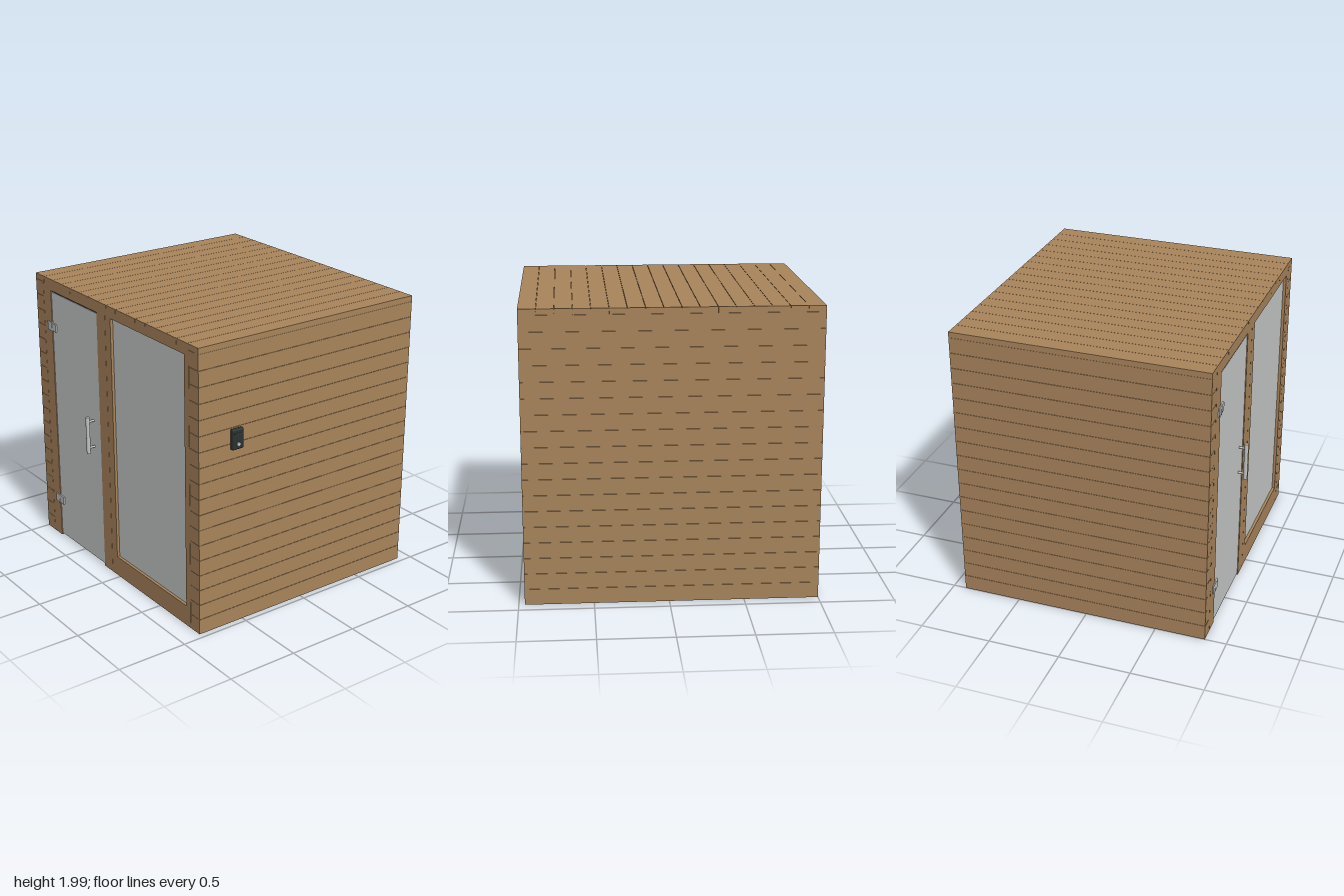
import * as THREE from 'three';
import { RoundedBoxGeometry } from 'three/addons/geometries/RoundedBoxGeometry.js';

const material = (name, color, extra = {}) => {
  const m = new THREE.MeshStandardMaterial({ color, ...extra });
  m.name = name;
  return m;
};

export function createModel() {
  const wood = material('cedar wood', 0xa8845b);
  const pale = material('pale bench wood', 0xd6c49c);
  const glass = material('frosted glass', 0xc8cac9);
  const metal = material('brushed metal', 0xc2c4c2);
  const black = material('black plastic', 0x2b3032);
  const seal = material('dark seal', 0x3c3a36);

  const model = new THREE.Group();
  model.name = 'saunaCabin';
  const group = (name) => {
    const g = new THREE.Group();
    g.name = name;
    model.add(g);
    return g;
  };
  // Box given by its minimum and maximum on each axis
  const box = (parent, name, mat, x0, x1, y0, y1, z0, z1) => {
    const mesh = new THREE.Mesh(new THREE.BoxGeometry(x1 - x0, y1 - y0, z1 - z0), mat);
    mesh.position.set((x0 + x1) / 2, (y0 + y1) / 2, (z0 + z1) / 2);
    mesh.name = name;
    parent.add(mesh);
    return mesh;
  };
  const cylinder = (parent, name, mat, r, h, x, y, z, rx = 0, rz = 0) => {
    const mesh = new THREE.Mesh(new THREE.CylinderGeometry(r, r, h, 20), mat);
    mesh.position.set(x, y, z);
    mesh.rotation.set(rx, 0, rz);
    mesh.name = name;
    parent.add(mesh);
  };

  const L = -1, R = 0.96, B = -0.91, F = 0.85, TOP = 1.985, EAVE = 1.945;
  const T = 0.045, gap = 0.001;

  // Planked side and back walls with a lining behind the seams
  const walls = group('walls');
  const rows = 18, pitch = EAVE / rows;
  for (let i = 0; i < rows; i++) {
    const y0 = i * pitch + (i ? gap : 0), y1 = (i + 1) * pitch - gap;
    box(walls, 'rightSidePlank', wood, R - T, R, y0, y1, B, F);
    box(walls, 'leftSidePlank', wood, L, L + T, y0, y1, B, F);
    box(walls, 'backPlank', wood, L + T, R - T, y0, y1, B, B + T);
    box(walls, 'frontCornerPlank', wood, L + T, -0.9 - gap, y0, y1, F - T, F);
    box(walls, 'frontCornerPlank', wood, 0.86 + gap, R - T, y0, y1, F - T, F);
  }
  box(walls, 'lining', wood, R - T - 0.005, R - 0.006, 0.001, EAVE, B + 0.006, F - 0.006);
  box(walls, 'lining', wood, L + 0.006, L + T + 0.005, 0.001, EAVE, B + 0.006, F - 0.006);
  box(walls, 'lining', wood, L + T, R - T, 0.001, EAVE, B + 0.006, B + T + 0.005);

  // Roof planks running front to back
  const roof = group('roof');
  const columns = 17, width = (R - L) / columns;
  for (let i = 0; i < columns; i++) {
    const x0 = L + i * width;
    box(roof, 'roofPlank', wood, x0 + (i ? gap : 0), x0 + width - (i < columns - 1 ? gap : 0), EAVE, TOP, B, F);
  }
  box(roof, 'ceiling', wood, L + 0.006, R - 0.006, EAVE - 0.01, TOP - 0.006, B + 0.006, F - 0.006);

  // Front frame around door and window
  const frame = group('frontFrame');
  const z0 = F - T;
  box(frame, 'doorHingePost', wood, -0.9 + gap, -0.8, 0, EAVE, z0, F);
  box(frame, 'doorHeader', wood, -0.8, -0.2, 1.903, EAVE, z0, F);
  box(frame, 'centrePost', wood, -0.2, -0.095 - gap, 0, EAVE, z0, F);
  box(frame, 'windowLeftTrim', wood, -0.095 + gap, -0.03, 0, EAVE, z0, F);
  box(frame, 'windowRightTrim', wood, 0.81, 0.86 - gap, 0, EAVE, z0, F);
  box(frame, 'windowSill', wood, -0.03, 0.81, 0, 0.145, z0, F);
  box(frame, 'windowHead', wood, -0.03, 0.81, 1.905, EAVE, z0, F);
  box(frame, 'window', glass, -0.03, 0.81, 0.145, 1.905, F - 0.033, F - 0.02);

  // Glass door with hinges and bar handle
  const door = group('door');
  box(door, 'doorGlass', glass, -0.798, -0.205, 0.016, 1.893, F - 0.018, F - 0.004);
  box(door, 'doorTopSeal', seal, -0.798, -0.2, 1.893, 1.903, F - 0.03, F - 0.008);
  box(door, 'doorEdgeSeal', seal, -0.205, -0.2, 0.016, 1.893, F - 0.03, F - 0.008);
  for (const y of [0.3, 1.64]) {
    box(door, 'hingeWallPlate', metal, -0.85, -0.812, y - 0.03, y + 0.03, F - 0.002, F + 0.008);
    box(door, 'hingeKnuckle', metal, -0.812, -0.793, y - 0.034, y + 0.034, F - 0.004, F + 0.01);
    box(door, 'hingeDoorPlate', metal, -0.793, -0.745, y - 0.028, y + 0.028, F - 0.006, F + 0.008);
  }
  cylinder(door, 'handleBar', metal, 0.014, 0.27, -0.29, 0.995, 0.896);
  for (const y of [0.9, 1.095])
    cylinder(door, 'handleStandoff', metal, 0.008, 0.05, -0.29, y, 0.868, Math.PI / 2);

  // Control panel on the right side wall
  const panel = group('controlPanel');
  const body = new THREE.Mesh(new RoundedBoxGeometry(0.032, 0.138, 0.088, 3, 0.008), black);
  body.position.set(0.975, 1.329, 0.565);
  body.name = 'controlBody';
  panel.add(body);
  box(panel, 'controlDisplay', seal, 0.989, 0.993, 1.365, 1.372, 0.535, 0.595);
  cylinder(panel, 'controlKnob', metal, 0.014, 0.012, 0.994, 1.297, 0.565, 0, Math.PI / 2);

  // Slatted floor, notched in the front corner
  const floor = group('floorGrid');
  for (let i = 0; i < 17; i++) {
    const z = -0.11 + i * 0.054;
    box(floor, 'floorSlat', pale, -0.46, z > 0.42 ? 0.57 : 0.9, 0.04, 0.06, z, z + 0.036);
  }
  for (const x of [-0.4, 0.36]) box(floor, 'floorBeam', pale, x - 0.018, x + 0.018, 0, 0.04, -0.11, 0.79);

  // Benches: slatted seat, edge boards and legs
  const bench = (name, x0, x1, zb, zf, y, legsX, legsZ, alongX) => {
    const g = group(name);
    const n = Math.round((alongX ? zf - zb : x1 - x0) / 0.085);
    const step = (alongX ? zf - zb : x1 - x0) / n;
    for (let i = 0; i < n; i++) {
      const a = i * step, b = a + step - 0.012;
      if (alongX) box(g, 'seatSlat', pale, x0, x1, y - 0.025, y, zb + a, zb + b);
      else box(g, 'seatSlat', pale, x0 + a, x0 + b, y - 0.025, y, zb, zf);
    }
    if (alongX) box(g, 'edgeBoard', pale, x0, x1, y - 0.08, y - 0.025, zf - 0.03, zf - 0.01);
    else box(g, 'edgeBoard', pale, x1 - 0.03, x1 - 0.01, y - 0.08, y - 0.025, zb, zf);
    for (const x of legsX) for (const z of legsZ)
      box(g, 'leg', pale, x - 0.02, x + 0.02, 0, y - 0.025, z - 0.02, z + 0.02);
    // Cross rails joining the legs
    if (alongX) for (const x of legsX)
      box(g, 'crossRail', pale, x - 0.015, x + 0.015, y - 0.075, y - 0.025, legsZ[0], legsZ[legsZ.length - 1]);
    else for (const z of legsZ)
      box(g, 'crossRail', pale, legsX[0], legsX[legsX.length - 1], y - 0.075, y - 0.025, z - 0.015, z + 0.015);
    return g;
  };
  bench('lowerBench', -0.48, 0.9, -0.37, -0.1, 0.42, [0.23, 0.67], [-0.35, -0.12], true);
  bench('upperBench', -0.94, 0.9, -0.85, -0.38, 0.8, [-0.9, -0.46, 0.23, 0.67], [-0.82, -0.41], true);
  const side = bench('sideBench', -0.94, -0.48, -0.37, 0.51, 0.8, [-0.92, -0.51], [-0.34, 0.07, 0.48], false);
  for (let i = 0; i < 13; i++) {
    const z = -0.36 + i * 0.066;
    box(side, 'skirtSlat', pale, -0.49, -0.475, 0.42, 0.775, z, z + 0.045);
  }
  return model;
}
